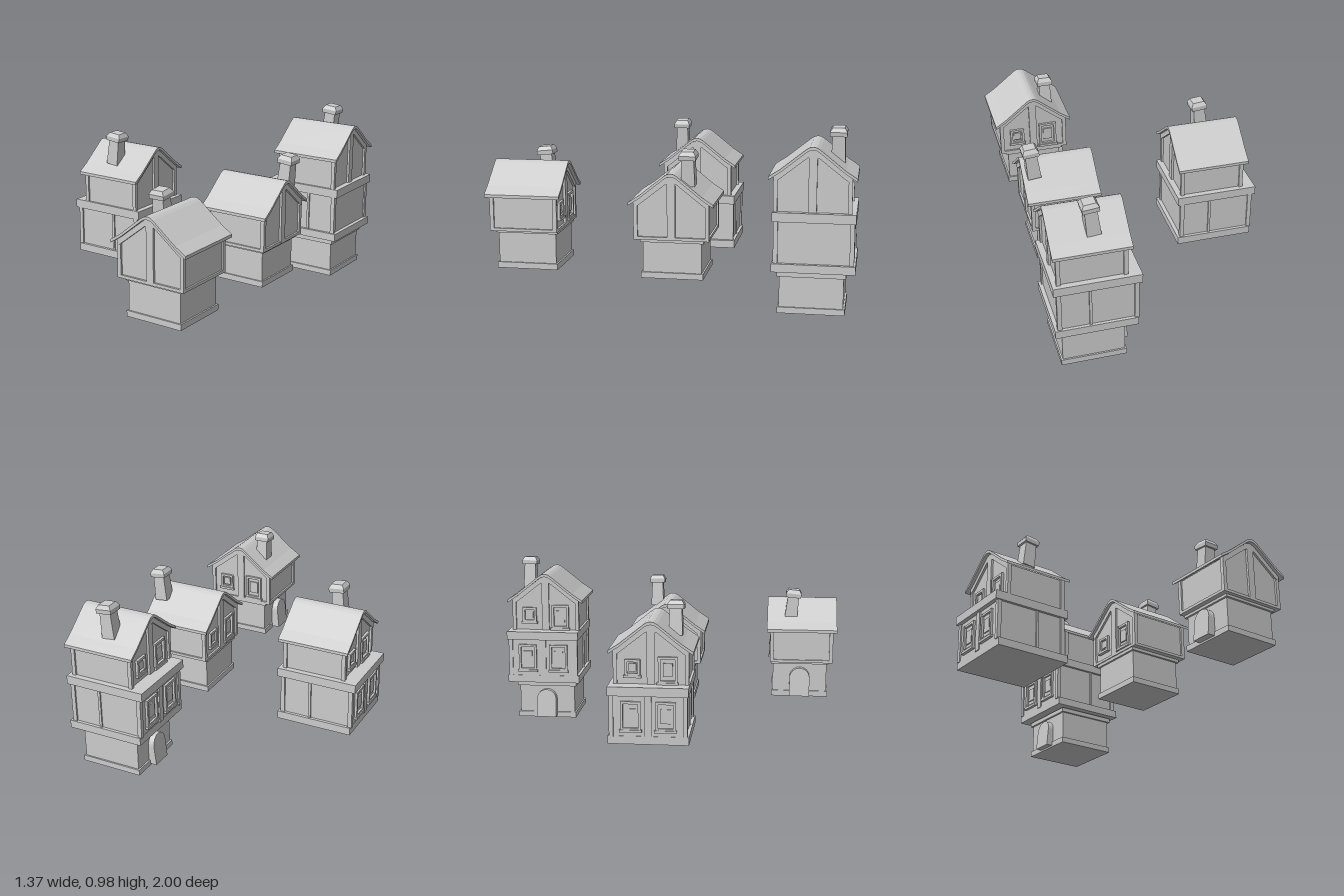
import * as THREE from 'three';

const mat = new THREE.MeshStandardMaterial({ color: 0xcccccc, flatShading: true });

function add(parent, name, geo, x = 0, y = 0, z = 0) {
  const m = new THREE.Mesh(geo, mat);
  m.name = name;
  m.position.set(x, y, z);
  parent.add(m);
  return m;
}

// box given by its centre in x and z and its bottom and top in y
function block(parent, name, w, y0, y1, d, x = 0, z = 0) {
  return add(parent, name, new THREE.BoxGeometry(w, y1 - y0, d), x, (y0 + y1) / 2, z);
}

function group(parent, name, y = 0) {
  const g = new THREE.Group();
  g.name = name;
  g.position.y = y;
  parent.add(g);
  return g;
}

function extrude(points, depth) {
  const shape = new THREE.Shape(points.map(p => new THREE.Vector2(p[0], p[1])));
  return new THREE.ExtrudeGeometry(shape, { depth, bevelEnabled: false });
}

// symmetrical band below a right-hand outline running from eave to ridge
function band(outline, drop) {
  const mirror = pts => pts.slice(0, -1).reverse().map(([x, y]) => [-x, y]);
  const top = [...outline, ...mirror(outline)];
  const bottom = top.map(([x, y]) => [x, y - drop]).reverse();
  return [...top, ...bottom];
}

// framed window with a glazing bar and a sill
function addWindow(parent, x, y, z, w, h) {
  const g = group(parent, 'window', y);
  g.position.x = x;
  g.position.z = z;
  const t = 0.014;
  for (const s of [-1, 1]) {
    block(g, 'windowJamb', t, -h / 2, h / 2, 0.026, s * (w - t) / 2);
    block(g, 'windowRail', w, s * (h - t) / 2 - t / 2, s * (h - t) / 2 + t / 2, 0.024);
  }
  block(g, 'windowPane', w * 0.5, -h * 0.25, h * 0.25, 0.014);
  block(g, 'windowSill', w + 0.012, -h / 2 - 0.01, -h / 2 + 0.004, 0.036);
}

// narrow ground floor with plinth and top plate
function groundFloor(house, size) {
  const g = group(house, 'groundFloor');
  const z = 0.008;
  block(g, 'plinth', size + 0.018, 0, 0.033, size + 0.018, 0, z);
  block(g, 'groundWall', size, 0.03, 0.235, size, 0, z);
  block(g, 'topPlate', size + 0.025, 0.2, 0.225, size + 0.025, 0, z);
  return g;
}

// arched door, thicker at its foot
function addDoor(parent, x, z, turn) {
  const s = new THREE.Shape();
  s.moveTo(-0.06, 0);
  s.lineTo(0.06, 0);
  s.lineTo(0.06, 0.11);
  s.absarc(0, 0.11, 0.06, 0, Math.PI);
  const geo = new THREE.ExtrudeGeometry(s, { depth: 0.05, bevelEnabled: false, curveSegments: 6 });
  const p = geo.attributes.position;
  for (let i = 0; i < p.count; i++) {
    if (p.getZ(i) > 0.01) p.setZ(i, 0.05 - p.getY(i) * 0.1);
  }
  geo.computeVertexNormals();
  add(parent, 'door', geo, x, 0.01, z).rotation.y = turn;
}

// wide timber-framed storey, stepped forward
function wideStorey(house, y) {
  const g = group(house, 'wideStorey', y);
  const z = 0.025;
  block(g, 'lowerBeam', 0.44, 0, 0.045, 0.445, -0.01, 0.015);
  block(g, 'storeyWall', 0.405, 0.04, 0.28, 0.42, -0.01, z);
  for (const sx of [-1, 1]) {
    for (const sz of [-1, 1]) {
      block(g, 'cornerPost', 0.024, 0.04, 0.28, 0.024, -0.01 + sx * 0.2, z + sz * 0.206);
    }
    block(g, 'sidePost', 0.014, 0.04, 0.28, 0.014, -0.01 + sx * 0.204, -0.015);
    addWindow(g, -0.01 + sx * 0.095, 0.158, z + 0.21, 0.11, 0.16);
  }
  block(g, 'frontPost', 0.036, 0.04, 0.28, 0.02, -0.01, z + 0.208);
  block(g, 'upperBeam', 0.437, 0.27, 0.32, 0.47, -0.01, z);
}

// upper storey with gables front and back, and the roof
function topStorey(house, y) {
  const g = group(house, 'topStorey', y);
  add(g, 'gableWall', extrude([[-0.195, 0], [0.195, 0], [0.195, 0.205], [0.025, 0.335], [-0.025, 0.335], [-0.195, 0.205]], 0.352), 0, 0, -0.176);
  block(g, 'sillBeam', 0.41, 0, 0.016, 0.375);
  const rafter = extrude(band([[0.205, 0.204], [0.17, 0.228], [0.03, 0.338], [0, 0.347]], 0.034), 0.02);
  for (const sz of [-1, 1]) {
    for (const sx of [-1, 1]) {
      block(g, 'cornerPost', 0.022, 0, 0.208, 0.022, sx * 0.194, sz * 0.1765);
    }
    block(g, 'gablePost', 0.044, 0, 0.335, 0.02, 0, sz * 0.1785);
    add(g, 'gableRafter', rafter, 0, 0, sz * 0.1785 - 0.01);
  }
  addWindow(g, -0.1, 0.11, 0.178, 0.085, 0.09);
  addWindow(g, 0.09, 0.1, 0.178, 0.105, 0.145);
  const outline = [[0.23, 0.205], [0.17, 0.244], [0.035, 0.352], [0.018, 0.362], [0, 0.365]];
  add(g, 'roof', extrude(band(outline, 0.017), 0.416), 0, 0, -0.208);
}

// leaning chimney with a bevelled cap; y is the top
function chimney(house, x, y, z) {
  const g = group(house, 'chimney', y);
  g.position.x = x;
  g.position.z = z;
  g.rotation.x = -0.1;
  const square = (r0, r1, h) => new THREE.CylinderGeometry(r0 * Math.SQRT1_2, r1 * Math.SQRT1_2, h, 4).rotateY(Math.PI / 4);
  add(g, 'chimneyShaft', square(0.066, 0.076, 0.15), 0, -0.115, 0);
  add(g, 'chimneyCap', square(0.092, 0.09, 0.024), 0, -0.034, 0);
  add(g, 'chimneyCapTop', square(0.066, 0.092, 0.022), 0, -0.011, 0);
}

export function createModel() {
  const root = new THREE.Group();
  root.name = 'village';
  const place = (name, x, y, z, turn) => {
    const h = group(root, name, y);
    h.position.x = x;
    h.position.z = z;
    h.rotation.y = turn;
    return h;
  };

  // wide house
  const wide = place('wideHouse', -0.427, 0.13, -0.02, -Math.PI / 2);
  wideStorey(wide, 0);
  topStorey(wide, 0.3);
  chimney(wide, 0.12, 0.75, 0.003);

  // small house
  const small = place('smallHouse', 0.447, 0.15, -0.02, -Math.PI / 2);
  groundFloor(small, 0.322);
  topStorey(small, 0.218);
  chimney(small, -0.09, 0.705, -0.163);

  // tall house
  const tall = place('tallHouse', 0.472, 0, -0.77, -Math.PI / 2);
  addDoor(groundFloor(tall, 0.34), 0, 0.175, 0);
  wideStorey(tall, 0.232);
  topStorey(tall, 0.535);
  chimney(tall, -0.12, 0.98, 0.007);

  // front house, facing backwards with a side door
  const front = place('frontHouse', 0.452, 0.175, 0.791, Math.PI);
  addDoor(groundFloor(front, 0.322), 0.165, 0.008, Math.PI / 2);
  topStorey(front, 0.215);
  chimney(front, 0.102, 0.645, 0.05);

  return root;
}
